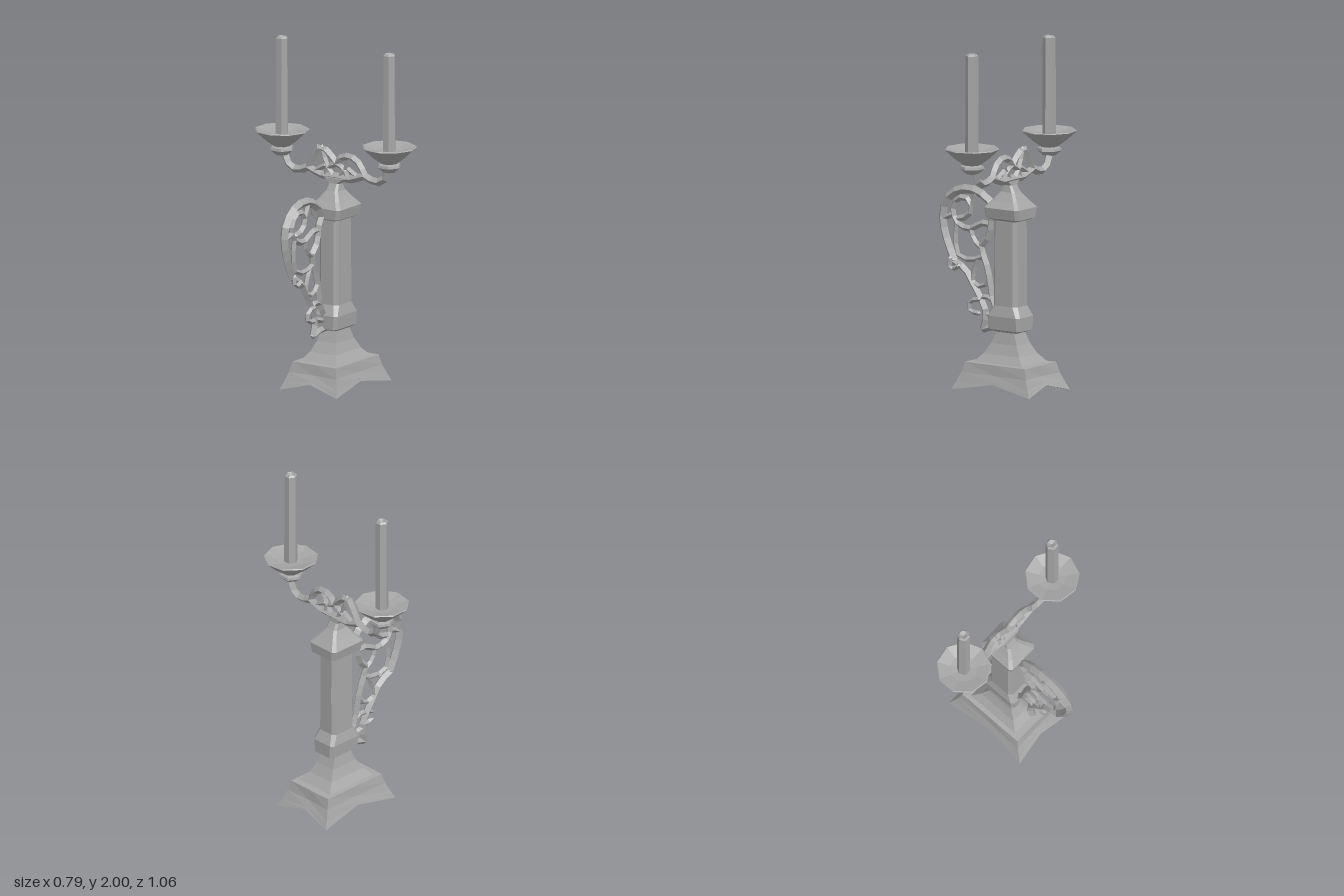
import * as THREE from 'three';

const metal = new THREE.MeshStandardMaterial({ color: 0xa6a6a6, flatShading: true, side: THREE.DoubleSide });
const CX = 0.12; // column axis

// Joins eight-point rings, listed from the bottom up, into a closed skin
function loft(name, rings, bottomY, topY) {
  const pos = [], idx = [], n = 8;
  rings.forEach(r => r.forEach(p => pos.push(...p)));
  for (let i = 0; i < rings.length - 1; i++) {
    for (let j = 0; j < n; j++) {
      const a = i * n + j, b = i * n + (j + 1) % n;
      idx.push(a, a + n, b, b, a + n, b + n);
    }
  }
  const low = rings.length * n, top = (rings.length - 1) * n;
  pos.push(CX, bottomY, 0, CX, topY, 0);
  for (let j = 0; j < n; j++) {
    const k = (j + 1) % n;
    idx.push(low, j, k, low + 1, top + k, top + j);
  }
  const g = new THREE.BufferGeometry();
  g.setAttribute('position', new THREE.Float32BufferAttribute(pos, 3));
  g.setIndex(idx);
  g.computeVertexNormals();
  return named(name, g);
}

function named(name, geometry) {
  const m = new THREE.Mesh(geometry, metal);
  m.name = name;
  return m;
}

// Rectangle whose side midpoints are pulled inward and raised
function bowedRing([y, hx, hz, inset = 0, lift = 0]) {
  const x = hx - inset, z = hz - inset, m = y + lift;
  return [[hx, y, hz], [x, m, 0], [hx, y, -hz], [0, m, -z], [-hx, y, -hz], [-x, m, 0], [-hx, y, hz], [0, m, z]]
    .map(p => [p[0] + CX, p[1], p[2]]);
}

// Rectangle with cut corners
function cutRing([y, hx, hz, c]) {
  return [[hx - c, hz], [hx, hz - c], [hx, c - hz], [hx - c, -hz], [c - hx, -hz], [-hx, c - hz], [-hx, hz - c], [c - hx, hz]]
    .map(p => [p[0] + CX, y, p[1]]);
}

// Faceted rod through points, with closed ends
function rod(name, points, r, sides = 4) {
  const pts = points.map(p => new THREE.Vector3(...p));
  const curve = new THREE.CatmullRomCurve3(pts, false, 'centripetal');
  const group = new THREE.Group();
  group.name = name;
  const steps = Math.max(2, Math.round((pts.length - 1) * 1.5));
  group.add(named(name + 'Rod', new THREE.TubeGeometry(curve, steps, r, sides, false)));
  for (const end of [pts[0], pts[pts.length - 1]]) {
    const cap = named(name + 'End', new THREE.OctahedronGeometry(r));
    cap.position.copy(end);
    group.add(cap);
  }
  return group;
}

function lathe(name, profile, sides, z) {
  const m = named(name, new THREE.LatheGeometry(profile.map(p => new THREE.Vector2(...p)), sides));
  m.position.set(CX, 0, z);
  return m;
}

export function createModel() {
  const model = new THREE.Group();
  model.name = 'candelabrum';

  // Splayed four-cornered foot and concave pyramid
  model.add(loft('foot', [
    [0, 0.275, 0.2, 0.022, 0.05], [0.04, 0.255, 0.185, 0.012, 0.025],
    [0.1, 0.228, 0.165, 0.006], [0.16, 0.213, 0.152], [0.162, 0.17, 0.125],
    [0.21, 0.125, 0.09], [0.27, 0.09, 0.066], [0.345, 0.06, 0.05],
  ].map(bowedRing), 0.055, 0.345));

  // Column with a swollen plinth, plain shaft and pointed capital
  model.add(loft('column', [
    [0.335, 0.07, 0.05, 0.015], [0.352, 0.112, 0.076, 0.018], [0.43, 0.113, 0.082, 0.018],
    [0.49, 0.084, 0.068, 0.022], [0.75, 0.083, 0.066, 0.022], [0.985, 0.082, 0.066, 0.022],
    [1.0, 0.118, 0.095, 0.018], [1.06, 0.122, 0.107, 0.018], [1.1, 0.088, 0.075, 0.016],
    [1.15, 0.05, 0.042, 0.014], [1.19, 0.027, 0.035, 0.01], [1.22, 0.024, 0.075, 0.01],
  ].map(cutRing), 0.335, 1.22));

  // Openwork side handle, drawn in the x-y plane
  const handle = new THREE.Group();
  handle.name = 'handle';
  const strut = (name, r, pts, z = -0.015) => handle.add(rod(name, pts.map(p => [p[0], p[1], z]), r));
  strut('outerScroll', 0.027, [[0, 1.02], [-0.045, 1.08], [-0.12, 1.12], [-0.2, 1.13], [-0.29, 1.1],
    [-0.355, 1.03], [-0.37, 0.94], [-0.34, 0.82], [-0.29, 0.71]]);
  strut('lowerScroll', 0.023, [[-0.29, 0.7], [-0.21, 0.66], [-0.16, 0.59], [-0.1, 0.5], [-0.065, 0.42], [-0.085, 0.33]]);
  strut('innerRail', 0.022, [[0, 1.02], [-0.035, 0.95], [-0.04, 0.88], [-0.1, 0.8], [-0.07, 0.73],
    [-0.04, 0.63], [-0.015, 0.5], [0.03, 0.42]]);
  strut('bottomFoot', 0.02, [[-0.085, 0.325], [0, 0.35], [0.1, 0.345]]);
  strut('upperCurl', 0.019, [[-0.04, 0.94], [-0.1, 0.94], [-0.17, 0.9], [-0.26, 0.92], [-0.3, 1.0],
    [-0.26, 1.07], [-0.19, 1.07], [-0.165, 1.02], [-0.2, 0.97], [-0.26, 0.95]]);
  [
    [[-0.27, 0.93], [-0.28, 0.82], [-0.25, 0.73], [-0.12, 0.73], [-0.08, 0.75]],
    [[-0.17, 0.9], [-0.15, 0.84], [-0.1, 0.8]],
    [[-0.37, 0.94], [-0.3, 0.97]],
    [[-0.17, 1.03], [-0.13, 1.12]],
    [[-0.12, 0.73], [-0.15, 0.66], [-0.16, 0.6]],
    [[-0.16, 0.59], [-0.09, 0.57], [-0.04, 0.63]],
    [[-0.1, 0.5], [-0.06, 0.52], [-0.015, 0.5]],
    [[-0.065, 0.42], [0.01, 0.4]],
  ].forEach((p, i) => strut('tracery' + (i + 1), 0.016, p));
  strut('middleCurl', 0.015, [[-0.3, 0.72], [-0.3, 0.655], [-0.24, 0.68]], 0.01);
  strut('lowerCurl', 0.015, [[-0.1, 0.5], [-0.16, 0.485], [-0.165, 0.43], [-0.1, 0.42]], 0.005);
  model.add(handle);

  // Branching arms, dishes and candles, one set on each side
  for (const s of [1, -1]) {
    const arm = new THREE.Group();
    arm.name = s > 0 ? 'frontArm' : 'backArm';
    const peak = s > 0 ? 1.35 : 1.385;
    const bar = (name, r, pts) => arm.add(rod(name, pts.map(p => [0.13, p[1], s * p[0]]), r));
    bar('lowerRail', 0.024, [[0, 1.225], [0.12, 1.225], [0.19, 1.255], [0.27, 1.228], [0.33, 1.25], [0.36, 1.31], [0.375, 1.35]]);
    bar('upperRail', 0.022, [[0, 1.305], [0.04, 1.345], [0.11, peak], [0.16, 1.32], [0.2, 1.25]]);
    bar('innerBrace', 0.016, [[0.02, 1.225], [0.07, 1.29], [0.1, peak]]);
    bar('outerBrace', 0.016, [[0.08, 1.28], [0.15, 1.24]]);
    bar('centreBrace', 0.017, [[0, 1.3], [0.06, 1.27], [0.075, 1.23]]);

    const z = s * 0.375;
    arm.add(lathe('knob', [[0, 1.3], [0.035, 1.305], [0.072, 1.335], [0.068, 1.35], [0.038, 1.362], [0, 1.365]], 6, z));
    arm.add(lathe('dish', [[0, 1.35], [0.045, 1.355], [0.1, 1.395], [0.16, 1.45], [0.155, 1.455], [0.08, 1.435], [0, 1.425]], 9, z));
    arm.add(lathe('candle', [[0, 1.42], [0.039, 1.42], [0.038, 1.7], [0.037, 1.99], [0.026, 2], [0, 1.985]], 6, z));
    model.add(arm);
  }
  return model;
}
